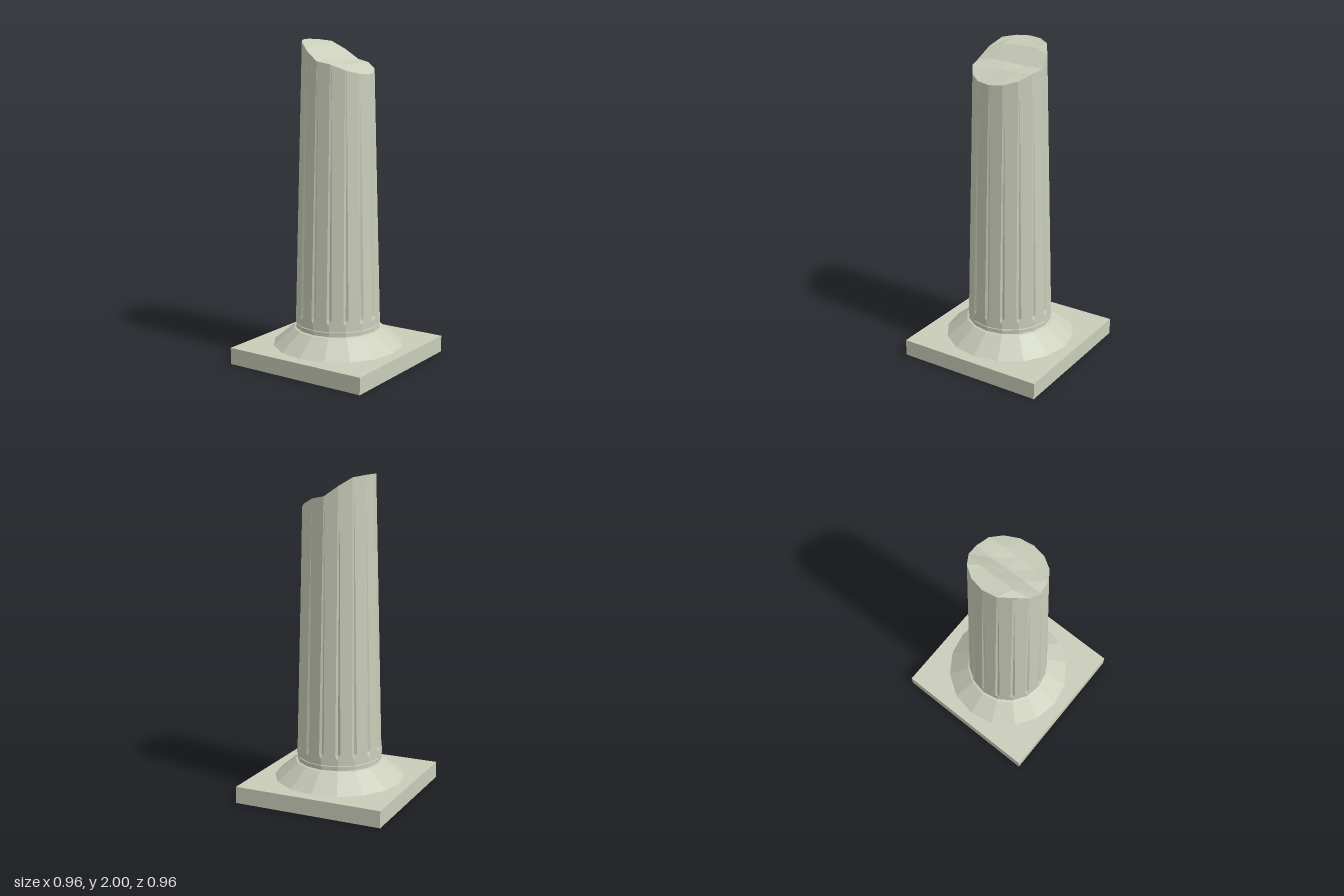
import * as THREE from 'three';

const SIDES = 16;
const material = new THREE.MeshStandardMaterial({ color: 0xc9cdb9, flatShading: true });

function part(name, geometry) {
  const flat = geometry.index ? geometry.toNonIndexed() : geometry;
  flat.computeVertexNormals();
  const mesh = new THREE.Mesh(flat, material);
  mesh.name = name;
  return mesh;
}

function indexed(points, index) {
  const g = new THREE.BufferGeometry().setFromPoints(points);
  g.setIndex(index);
  return g;
}

// Height of the slanting break, as a curve along x
const BREAK = [[-0.22, 2], [-0.155, 1.985], [-0.084, 1.935], [0, 1.875], [0.09, 1.857], [0.155, 1.825], [0.22, 1.795]];
function breakHeight(x) {
  if (x <= BREAK[0][0]) return BREAK[0][1];
  for (let i = 1; i < BREAK.length; i++) {
    const [x0, y0] = BREAK[i - 1], [x1, y1] = BREAK[i];
    if (x <= x1) return y0 + (y1 - y0) * (x - x0) / (x1 - x0);
  }
  return BREAK[BREAK.length - 1][1];
}

// Tapering shaft radius
const shaftRadius = (y) => 0.269 - 0.028 * (y - 0.25);

function corner(k, y) {
  const a = (k / SIDES) * Math.PI * 2, r = shaftRadius(y);
  return new THREE.Vector3(Math.cos(a) * r, y, Math.sin(a) * r);
}

function rimPoint(k) {
  const x = Math.cos((k / SIDES) * Math.PI * 2) * 0.222;
  return corner(k, breakHeight(x));
}

// Sixteen-sided shaft; a shallow flute at each corner fades out toward the break
function shaftGeometry() {
  const rings = [
    { at: (k) => corner(k, 0.25), width: 0.016, depth: 0 },
    { at: (k) => corner(k, 0.29), width: 0.008, depth: 0 },
    { at: (k) => corner(k, 0.315), width: 0.016, depth: 0.012 },
    { at: rimPoint, width: 0.011, depth: 0 },
  ];
  const points = [], index = [], n = SIDES * 3;
  for (const { at, width, depth } of rings) {
    for (let k = 0; k < SIDES; k++) {
      const p = at(k), before = at(k - 1), after = at(k + 1);
      const lip = (q) => p.clone().lerp(q, width / p.distanceTo(q));
      const inward = new THREE.Vector3(-p.x, 0, -p.z).setLength(depth);
      points.push(lip(before), p.clone().add(inward), lip(after));
    }
  }
  for (let r = 0; r < rings.length - 1; r++) {
    for (let i = 0; i < n; i++) {
      const a = r * n + i, b = r * n + (i + 1) % n;
      index.push(a, a + n, b, b, a + n, b + n);
    }
  }
  return indexed(points, index);
}

// Broken top: a 4 x 4 patch whose border follows the rim of the shaft
function breakGeometry() {
  const points = [], index = [];
  for (let j = -2; j <= 2; j++) {
    for (let i = -2; i <= 2; i++) {
      if (Math.max(Math.abs(i), Math.abs(j)) === 2) {
        // border points go round in equal angular steps
        let k;
        if (i === 2) k = j;
        else if (j === 2) k = 4 - i;
        else if (i === -2) k = 8 - j;
        else k = 12 + i;
        points.push(rimPoint(k));
      } else {
        const x = i * 0.1 - 0.005, z = j * 0.115;
        const lift = i === -1 ? 0.012 : i === 0 ? 0.006 * j : -0.004 * j;
        points.push(new THREE.Vector3(x, breakHeight(x) + lift, z));
      }
    }
  }
  for (let j = 0; j < 4; j++) {
    for (let i = 0; i < 4; i++) {
      const a = j * 5 + i;
      index.push(a, a + 5, a + 6, a, a + 6, a + 1);
    }
  }
  return indexed(points, index);
}

export function createModel() {
  const model = new THREE.Group();
  model.name = 'brokenColumn';

  // Square plinth
  const plinth = part('plinth', new THREE.BoxGeometry(0.96, 0.105, 0.96));
  plinth.position.y = 0.0525;
  model.add(plinth);

  // Sloping foot, small ledge and narrow neck below the shaft
  const profile = [[0.41, 0.105], [0.28, 0.212], [0.265, 0.216], [0.265, 0.242], [0.26, 0.244], [0.26, 0.25], [0.269, 0.25]];
  model.add(part('foot', new THREE.LatheGeometry(profile.map(([r, y]) => new THREE.Vector2(r, y)), SIDES)));

  model.add(part('flutedShaft', shaftGeometry()));
  model.add(part('brokenTop', breakGeometry()));
  return model;
}
